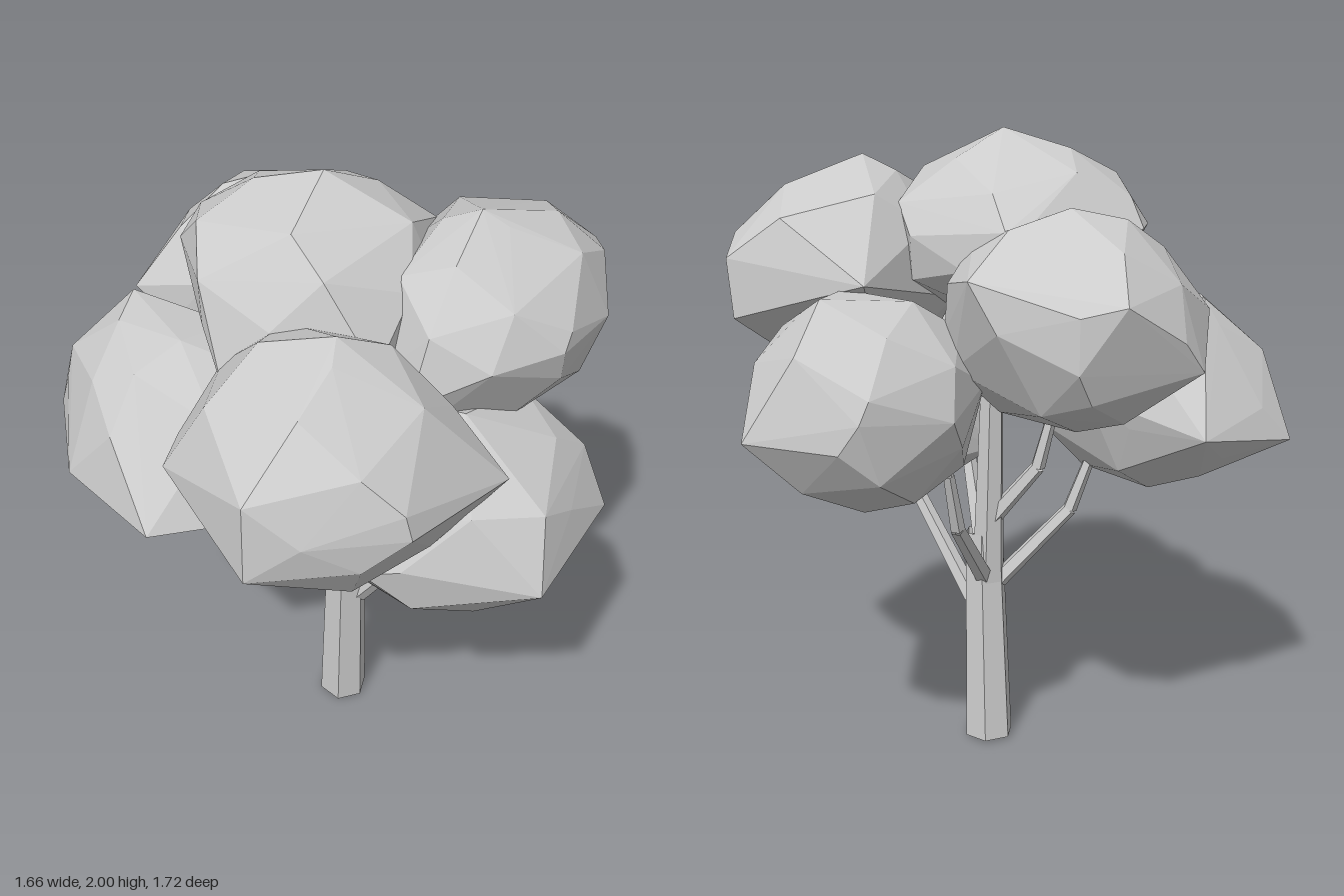
import * as THREE from 'three';
import { ConvexGeometry } from 'three/addons/geometries/ConvexGeometry.js';

const V = (p) => new THREE.Vector3(...p);

// Seeded random numbers for the uneven facets
function seeded(seed) {
  let s = seed;
  return () => (s = (s * 16807) % 2147483647) / 2147483647;
}

// Faceted leaf mass: an uneven ellipsoid, pulled out to a few outer corners
function leafMass(center, radii, corners, seed) {
  const rand = seeded(seed * 7919 + 13);
  const pts = corners.map(V);
  const n = 34;
  for (let i = 0; i < n; i++) {
    const y = 1 - (2 * i + 1) / n;
    const a = i * 2.39996 + rand() * 0.5;
    const r = Math.sqrt(1 - y * y);
    const k = 0.95 + rand() * 0.08;
    pts.push(new THREE.Vector3(r * Math.cos(a), y, r * Math.sin(a)).multiplyScalar(k).multiply(V(radii)).add(V(center)));
  }
  return new ConvexGeometry(pts);
}

// Open tapered limb between two points
function limb(from, to, r0, r1, sides) {
  const dir = to.clone().sub(from);
  const g = new THREE.CylinderGeometry(r1, r0, dir.length(), sides, 1, true, Math.PI / 2);
  g.applyQuaternion(new THREE.Quaternion().setFromUnitVectors(new THREE.Vector3(0, 1, 0), dir.normalize()));
  const mid = from.clone().lerp(to, 0.5);
  return g.translate(mid.x, mid.y, mid.z);
}

export function createModel() {
  const tree = new THREE.Group();
  tree.name = 'tree';
  const grey = new THREE.MeshStandardMaterial({ color: 0xcccccc, flatShading: true, side: THREE.DoubleSide });
  grey.name = 'light grey';
  const add = (name, geometry) => {
    const mesh = new THREE.Mesh(geometry, grey);
    mesh.name = name;
    tree.add(mesh);
  };

  // Trunk and its upper stem
  add('trunk', limb(V([-0.02, 0, 0.055]), V([0.015, 0.72, 0.07]), 0.082, 0.064, 6));
  add('upperTrunk', limb(V([-0.005, 0.55, 0.065]), V([-0.03, 1.2, 0.05]), 0.055, 0.038, 6));

  // Branches run outwards, then turn up into the leaves
  const addBranch = (name, start, end) => {
    const from = V(start), elbow = V(end);
    const tip = elbow.clone().lerp(from, -0.3);
    tip.y += 0.12;
    add(name, limb(from, elbow, 0.03, 0.024, 5));
    add(name, limb(elbow, tip, 0.024, 0.018, 5));
  };
  addBranch('rightBranch', [0.05, 0.48, 0.05], [0.29, 0.82, 0.04]);
  addBranch('backBranch', [-0.01, 0.57, 0.04], [-0.08, 0.82, -0.18]);
  addBranch('leftBranch', [-0.03, 0.55, 0.09], [-0.21, 0.8, 0.23]);
  addBranch('leaningBranch', [0.04, 0.7, 0.08], [0.13, 0.94, 0.13]);
  addBranch('thinBranch', [-0.03, 0.78, 0.06], [-0.16, 0.96, 0.12]);

  // Leaf masses: centre, radii and outermost corners
  const addLeaves = (name, center, radii, corners) =>
    add(name, leafMass(center, radii, corners, tree.children.length));
  addLeaves('topLeaves', [-0.08, 1.69, 0.1], [0.39, 0.28, 0.4],
    [[-0.03, 2, 0.1], [-0.48, 1.73, 0.18], [-0.02, 1.52, 0.52], [0.32, 1.6, 0.28], [-0.32, 1.75, -0.26]]);
  addLeaves('upperBackLeaves', [0.33, 1.6, -0.2], [0.32, 0.3, 0.42],
    [[0.33, 1.92, -0.13], [0.38, 1.66, -0.64], [0.36, 1.49, -0.64], [0.4, 1.5, 0.24], [0, 1.6, -0.48], [0.65, 1.62, -0.1]]);
  addLeaves('frontLeaves', [0.28, 1.4, 0.46], [0.4, 0.35, 0.37],
    [[0.32, 1.78, 0.43], [0.4, 1.53, 0.85], [0.4, 1.3, 0.86], [0.68, 1.4, 0.55], [0.67, 1.35, 0.14], [0, 1.4, 0.76]]);
  addLeaves('lowerFrontLeaves', [-0.37, 1.21, 0.4], [0.41, 0.32, 0.32],
    [[-0.83, 1.09, 0.5], [-0.1, 1.1, 0.77], [-0.6, 1.52, 0.34], [-0.5, 1.1, 0.73], [0.1, 1.1, 0.48], [-0.74, 1.15, 0.14]]);
  addLeaves('sideLeaves', [-0.41, 1.49, -0.08], [0.37, 0.31, 0.37],
    [[-0.8, 1.39, 0], [-0.73, 1.6, -0.28], [-0.64, 1.5, 0.3], [-0.42, 1.81, -0.1], [-0.35, 1.65, -0.46]]);
  addLeaves('backLeaves', [0, 1.28, -0.48], [0.34, 0.31, 0.34],
    [[0.1, 1.22, -0.86], [-0.22, 1.3, -0.74], [0, 1.59, -0.65], [0.31, 1.3, -0.62]]);
  addLeaves('lowerSideLeaves', [0.4, 1.11, 0.03], [0.38, 0.33, 0.43],
    [[0.83, 1.04, 0.17], [0.74, 1.05, -0.27], [0.77, 1.25, 0.1], [0.5, 1.47, 0.12], [0, 1, 0.1],
      [0.45, 1.1, 0.48], [0.4, 0.77, 0.05]]);

  return tree;
}
